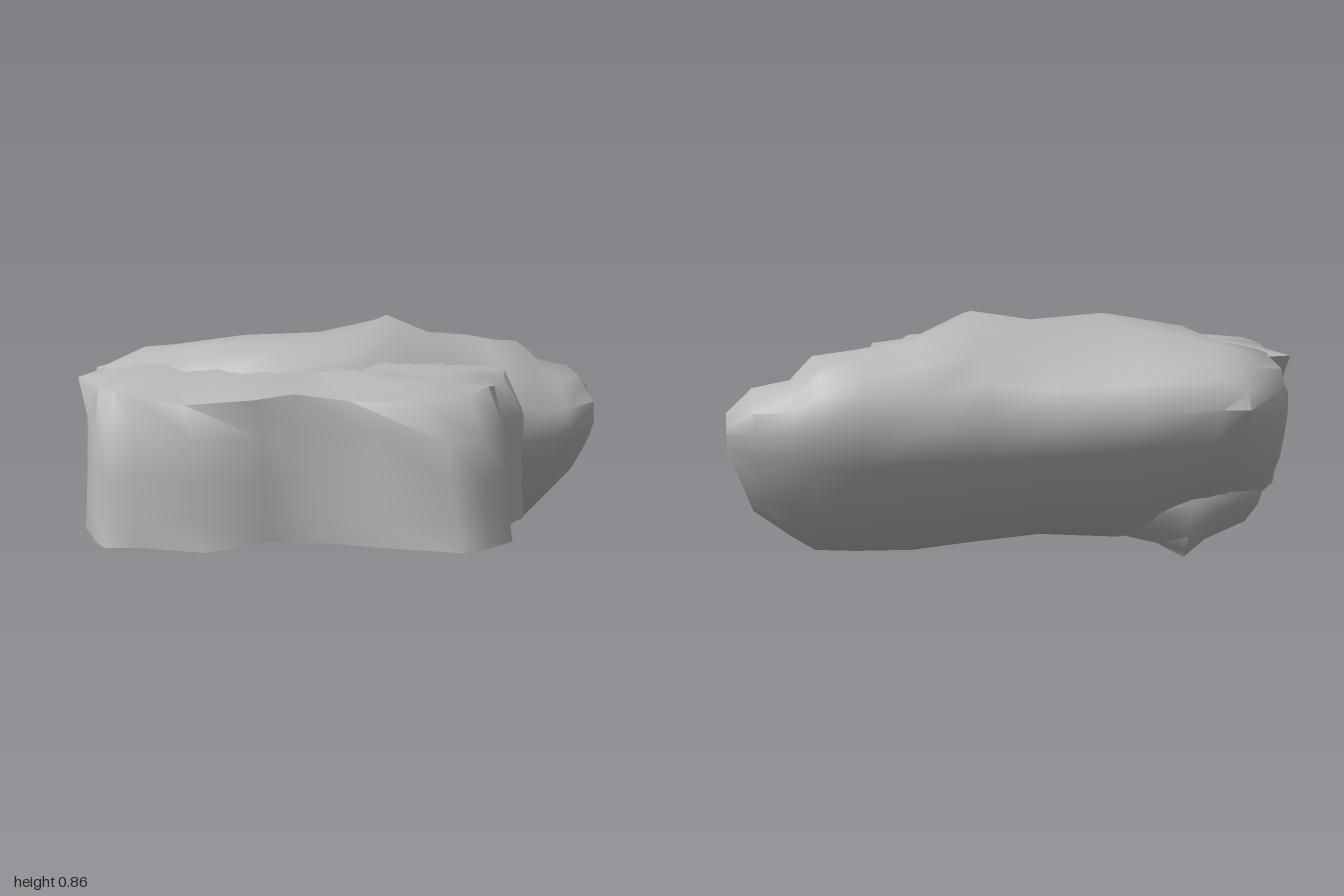
import * as THREE from 'three';
import { mergeVertices, toCreasedNormals } from 'three/addons/utils/BufferGeometryUtils.js';

// Joins equal-length closed rings of [x, y, z] and closes both ends with a fan.
function loft(rings, crease) {
  const n = rings[0].length, pos = [], idx = [];
  rings.forEach(r => r.forEach(p => pos.push(...p)));
  for (let i = 0; i < rings.length - 1; i++) {
    for (let j = 0; j < n; j++) {
      const a = i * n + j, b = i * n + (j + 1) % n;
      idx.push(a, b, a + n, b, b + n, a + n);
    }
  }
  [0, rings.length - 1].forEach((k, end) => {
    const c = [0, 1, 2].map(d => rings[k].reduce((s, p) => s + p[d], 0) / n);
    const ci = pos.length / 3;
    pos.push(...c);
    for (let j = 0; j < n; j++) {
      const a = k * n + j, b = k * n + (j + 1) % n;
      if (end) idx.push(a, b, ci); else idx.push(b, a, ci);
    }
  });
  const g = new THREE.BufferGeometry();
  g.setAttribute('position', new THREE.Float32BufferAttribute(pos, 3));
  g.setIndex(idx);
  return toCreasedNormals(mergeVertices(g), crease);
}

// Boulder stations along x: [x, zFront, yFront, zTop, yTop, zBack, yBack, zBottom, yBottom,
// squareness of the front top and back top: low is boxy, 2 is a straight bevel]
const boulder = [
  [-0.89, -0.05, 0.45, -0.3, 0.66, -0.48, 0.52, -0.28, 0.25, 0.8, 0.8],
  [-0.86, 0.04, 0.45, -0.3, 0.71, -0.55, 0.54, -0.3, 0.22, 0.7, 0.9],
  [-0.69, 0.12, 0.45, -0.3, 0.75, -0.73, 0.57, -0.3, 0.18, 0.7, 1.1],
  [-0.6, 0.18, 0.45, -0.15, 0.79, -0.72, 0.57, -0.28, 0.14, 0.8, 1],
  [-0.36, 0.26, 0.45, -0.02, 0.825, -0.69, 0.55, -0.24, 0.06, 0.7, 1],
  [-0.08, 0.26, 0.46, -0.04, 0.81, -0.65, 0.53, -0.22, 0.075, 0.7, 1],
  [0.16, 0.24, 0.46, -0.22, 0.86, -0.61, 0.52, -0.2, 0.05, 1, 1.05],
  [0.36, 0.16, 0.44, -0.26, 0.77, -0.59, 0.5, -0.18, 0.025, 0.9, 0.8],
  [0.56, 0.13, 0.43, -0.28, 0.74, -0.59, 0.5, -0.19, 0.03, 1.1, 0.7],
  [0.7, 0.08, 0.43, -0.3, 0.725, -0.565, 0.5, -0.22, 0.045, 1.2, 0.7],
  [0.78, 0.04, 0.44, -0.3, 0.645, -0.53, 0.5, -0.25, 0.1, 1, 0.7],
  [0.91, -0.03, 0.45, -0.3, 0.62, -0.49, 0.49, -0.28, 0.2, 1, 0.8],
  [0.995, -0.27, 0.48, -0.33, 0.53, -0.41, 0.49, -0.33, 0.42, 1, 1],
];

// Foot under the right end, same fields
const foot = [
  [-0.87, -0.03, 0.21, -0.15, 0.32, -0.28, 0.24, -0.12, 0.1, 0.6, 0.6],
  [-0.83, -0.03, 0.2, -0.2, 0.36, -0.36, 0.24, -0.14, 0.085, 0.6, 0.6],
  [-0.66, -0.03, 0.2, -0.24, 0.36, -0.44, 0.21, -0.28, 0.05, 0.6, 0.6],
  [-0.57, -0.04, 0.2, -0.25, 0.36, -0.44, 0.2, -0.335, 0, 0.6, 0.6],
  [-0.49, -0.05, 0.2, -0.24, 0.36, -0.42, 0.2, -0.27, 0.04, 0.6, 0.6],
  [-0.3, -0.06, 0.22, -0.22, 0.34, -0.36, 0.22, -0.22, 0.08, 0.6, 0.6],
];

// Rounded upper quarters, straighter keel-like lower quarters
function stoneRing([x, zf, yf, zt, yt, zb, yb, zo, yo, frontTop, backTop], k) {
  const ring = [], n = 16;
  for (let j = n; j > 0; j--) {
    const t = j / n * Math.PI * 2, c = Math.cos(t), s = Math.sin(t);
    const up = s > -0.01, front = c >= 0;
    const e = up ? (front ? frontTop : backTop) : (front ? 1.7 : 1.45);
    const u = Math.pow(Math.abs(c), e), v = Math.pow(Math.abs(s), e);
    const zMid = up ? zt : zo, ySide = front ? yf : yb;
    const rough = j % 4 ? 0.012 * Math.sin(k * 2.3 + j * 1.9) : 0;
    const z = zMid + ((front ? zf : zb) - zMid) * u;
    const y = ySide + ((up ? yt : yo) - ySide) * v;
    ring.push([x, y + rough, z + rough * c]);
  }
  return ring;
}

// Ledge outlines in plan, bottom and top, same corner order
const base = [
  [-1, 0.02], [-1, 0.25], [-0.98, 0.29], [-0.88, 0.3], [-0.68, 0.46], [-0.45, 0.4],
  [-0.28, 0.43], [-0.09, 0.56], [0.12, 0.72], [0.23, 0.68], [0.34, 0.6], [0.37, 0.45],
  [0.49, 0.33], [0.51, 0.24], [0.47, 0.1], [0.4, -0.1], [0, -0.16], [-0.5, -0.2],
  [-0.84, -0.22], [-0.94, -0.15],
];
const rim = [
  [-0.94, -0.02], [-0.96, 0.1], [-0.92, 0.17], [-0.86, 0.27], [-0.72, 0.36], [-0.5, 0.4],
  [-0.36, 0.4], [-0.2, 0.5], [0.02, 0.55], [0.2, 0.55], [0.3, 0.46], [0.36, 0.36],
  [0.43, 0.27], [0.46, 0.2], [0.45, 0.08], [0.38, -0.1], [0, -0.2], [-0.5, -0.3],
  [-0.84, -0.36], [-0.97, -0.24],
];

// [height, blend from base to rim, outward bulge of the left flank]
const levels = [[0.21, 0, 0], [0.3, 0.12, 0], [0.44, 0.25, 0.01], [0.58, 0.38, 0.025], [0.7, 1, 0]];

function ledgeRings() {
  const rings = levels.map(([y, t, bulge], k) => base.map(([x, z], j) => {
    const [rx, rz] = rim[j];
    const wave = (k ? 0.012 : 0.006) * Math.sin(j * 1.7 + k);
    return [x + (rx - x) * t + (x > 0.4 ? bulge : 0), y + wave, z + (rz - z) * t];
  }));
  // Gently crowned top
  [[0.75, 0.725], [0.4, 0.745]].forEach(([s, y]) => rings.push(
    rim.map(([x, z], j) => [-0.22 + (x + 0.22) * s, y + 0.006 * Math.sin(j * 1.7), 0.05 + (z - 0.05) * s])));
  return rings;
}

export function createModel() {
  const group = new THREE.Group();
  group.name = 'rock';
  const stone = new THREE.MeshStandardMaterial({ color: 0xb8b8b8 });
  stone.name = 'grey stone';

  const add = (name, geometry) => {
    const mesh = new THREE.Mesh(geometry, stone);
    mesh.name = name;
    group.add(mesh);
  };

  add('boulder', loft(boulder.map(stoneRing), 1));
  add('foot', loft(foot.map(stoneRing), 1));
  add('frontLedge', loft(ledgeRings(), 1));
  return group;
}
